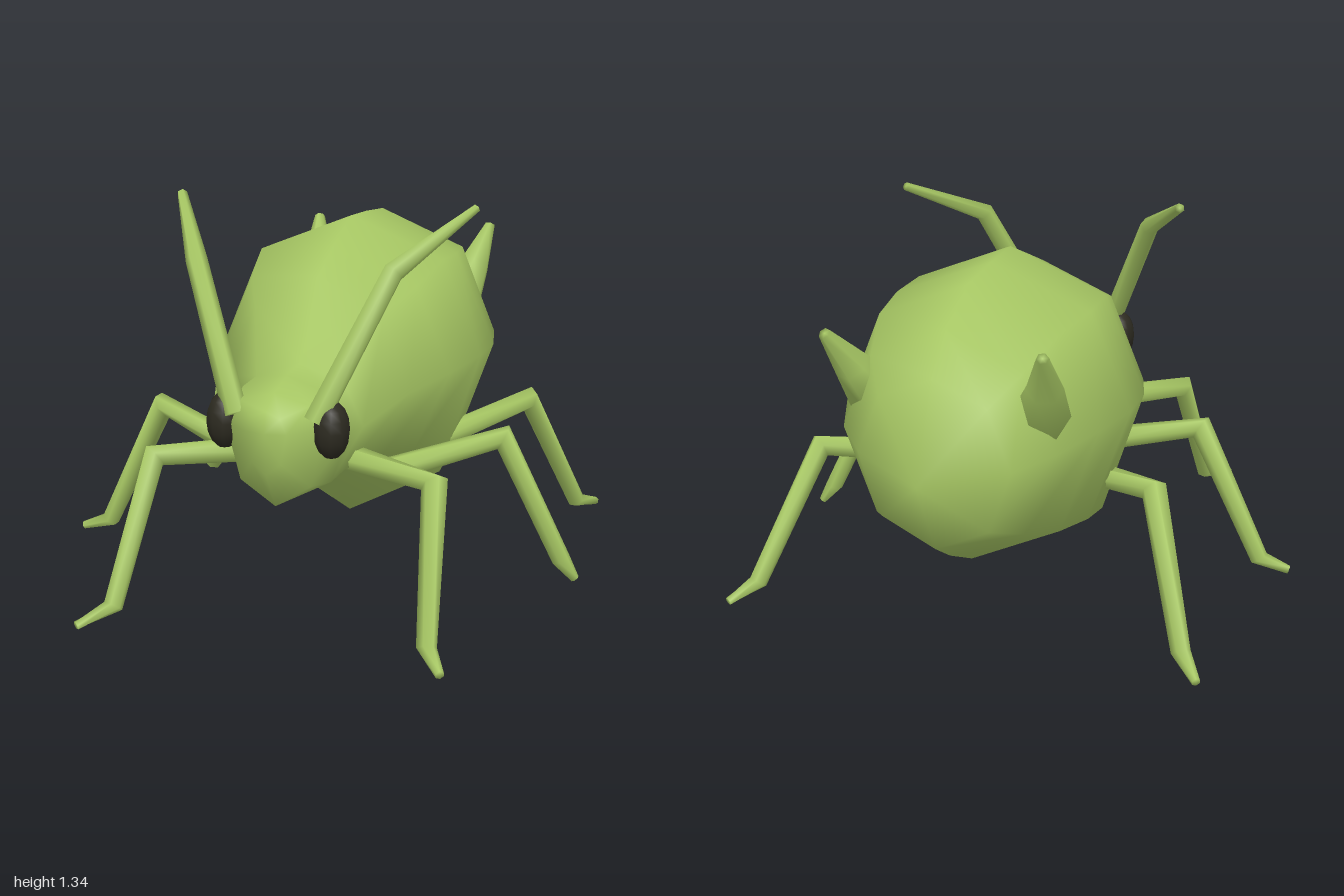
import * as THREE from 'three';

const green = new THREE.MeshStandardMaterial({ color: 0xa6c663 });
green.name = 'leaf green';
const dark = new THREE.MeshStandardMaterial({ color: 0x2c2a20 });
dark.name = 'dark brown';

const V = (x, y, z) => new THREE.Vector3(x, y, z);

// Smooth skin over rings of points, closed at both ends by a fan to a tip
function loft(rings, startTip, endTip) {
  const n = rings[0].length, last = (rings.length - 1) * n;
  const points = [...rings.flat(), startTip, endTip];
  const s = points.length - 2, e = s + 1, index = [];
  for (let j = 0; j < n; j++) {
    const k = (j + 1) % n;
    index.push(s, j, k, e, last + k, last + j);
    for (let i = 0; i < last; i += n) {
      index.push(i + j, i + n + j, i + n + k, i + j, i + n + k, i + k);
    }
  }
  const geo = new THREE.BufferGeometry().setFromPoints(points);
  geo.setIndex(index);
  geo.computeVertexNormals();
  return geo;
}

// Jointed tapering limb through [x, y, z, radius] points
function limb(path, sides = 6) {
  const pts = path.map(p => V(p[0], p[1], p[2]));
  const rings = pts.map((p, i) => {
    const t = pts[Math.min(i + 1, pts.length - 1)].clone().sub(pts[Math.max(i - 1, 0)]).normalize();
    const u = V(0, 0, 1).addScaledVector(t, -t.z);
    if (u.length() < 0.3) u.set(1, 0, 0).addScaledVector(t, -t.x);
    u.normalize();
    const v = u.clone().cross(t);
    return Array.from({ length: sides }, (_, j) => {
      const a = j / sides * Math.PI * 2, r = path[i][3];
      return p.clone().addScaledVector(u, r * Math.cos(a)).addScaledVector(v, r * Math.sin(a));
    });
  });
  return loft(rings, pts[0], pts[pts.length - 1]);
}

// Head, thorax and abdomen: z, centre x, half width, top, middle, bottom
const SECTIONS = [
  [0.79, 0.06, 0.07, 0.74, 0.67, 0.53],
  [0.71, 0.06, 0.17, 0.78, 0.67, 0.40],
  [0.60, 0.06, 0.215, 0.81, 0.64, 0.39],
  [0.47, 0.06, 0.22, 0.82, 0.62, 0.40],
  [0.26, 0.05, 0.33, 1.07, 0.69, 0.37],
  [0.08, 0.04, 0.43, 1.14, 0.72, 0.31],
  [-0.12, 0.04, 0.49, 1.22, 0.74, 0.10],
  [-0.30, 0.04, 0.495, 1.21, 0.74, 0.15],
  [-0.51, 0.04, 0.45, 1.19, 0.74, 0.21],
  [-0.70, 0.04, 0.37, 1.09, 0.72, 0.31],
  [-0.84, 0.03, 0.26, 0.98, 0.70, 0.40],
];

function bodyGeometry() {
  const rings = SECTIONS.map(([z, cx, w, top, mid, bot]) =>
    Array.from({ length: 8 }, (_, j) => {
      const a = j / 8 * Math.PI * 2, s = Math.sin(a);
      return V(cx + w * Math.cos(a), mid + s * (s > 0 ? top - mid : mid - bot), z);
    }));
  return loft(rings, V(0.06, 0.67, 0.805), V(0.02, 0.68, -1));
}

export function createModel() {
  const model = new THREE.Group();
  model.name = 'insect';
  const add = (name, geo, mat = green) => {
    const mesh = new THREE.Mesh(geo, mat);
    mesh.name = name;
    model.add(mesh);
    return mesh;
  };

  add('body', bodyGeometry());

  // Legs: hip, knee, ankle, toe
  const legs = {
    leftFrontLeg: [[0.2, 0.49, 0.4], [0.57, 0.51, 0.64], [0.61, 0.05, 0.85], [0.68, 0.015, 0.95]],
    rightFrontLeg: [[-0.08, 0.49, 0.4], [-0.4, 0.5, 0.64], [-0.45, 0.05, 0.88], [-0.53, 0.015, 0.99]],
    leftMiddleLeg: [[0.3, 0.4, 0.24], [0.68, 0.53, 0.15], [0.89, 0.1, 0.12], [0.94, 0.03, 0.11]],
    rightMiddleLeg: [[-0.2, 0.4, 0.25], [-0.59, 0.53, 0.16], [-0.83, 0.05, 0.15], [-0.94, 0.015, 0.16]],
    leftBackLeg: [[0.28, 0.38, -0.02], [0.65, 0.51, -0.42], [0.81, 0.05, -0.64], [0.87, 0.015, -0.75]],
    rightBackLeg: [[-0.2, 0.38, -0.02], [-0.57, 0.51, -0.4], [-0.73, 0.05, -0.61], [-0.81, 0.015, -0.72]],
  };
  const legRadius = [0.045, 0.046, 0.033, 0.015];
  for (const [name, path] of Object.entries(legs)) {
    add(name, limb(path.map((p, i) => [...p, legRadius[i]])));
  }

  // Swept-back feelers
  add('leftAntenna', limb([[0.2, 0.7, 0.72, 0.04], [0.4, 1.16, 0.55, 0.036], [0.58, 1.32, 0.21, 0.015]]));
  add('rightAntenna', limb([[-0.07, 0.7, 0.72, 0.04], [-0.27, 1.16, 0.55, 0.036], [-0.47, 1.32, 0.21, 0.018]]));

  // Short spikes on the rear of the abdomen
  add('leftTailSpike', limb([[0.3, 0.8, -0.62, 0.11], [0.355, 0.95, -0.73, 0.06], [0.385, 1.09, -0.85, 0.02]]));
  add('rightTailSpike', limb([[-0.24, 0.8, -0.62, 0.11], [-0.3, 0.95, -0.73, 0.06], [-0.335, 1.09, -0.85, 0.02]]));

  // Eyes
  for (const [name, x] of [['leftEye', 0.245], ['rightEye', -0.12]]) {
    const eye = add(name, new THREE.SphereGeometry(1, 10, 8), dark);
    eye.scale.set(0.06, 0.095, 0.065);
    eye.position.set(x, 0.67, 0.69);
  }
  return model;
}
